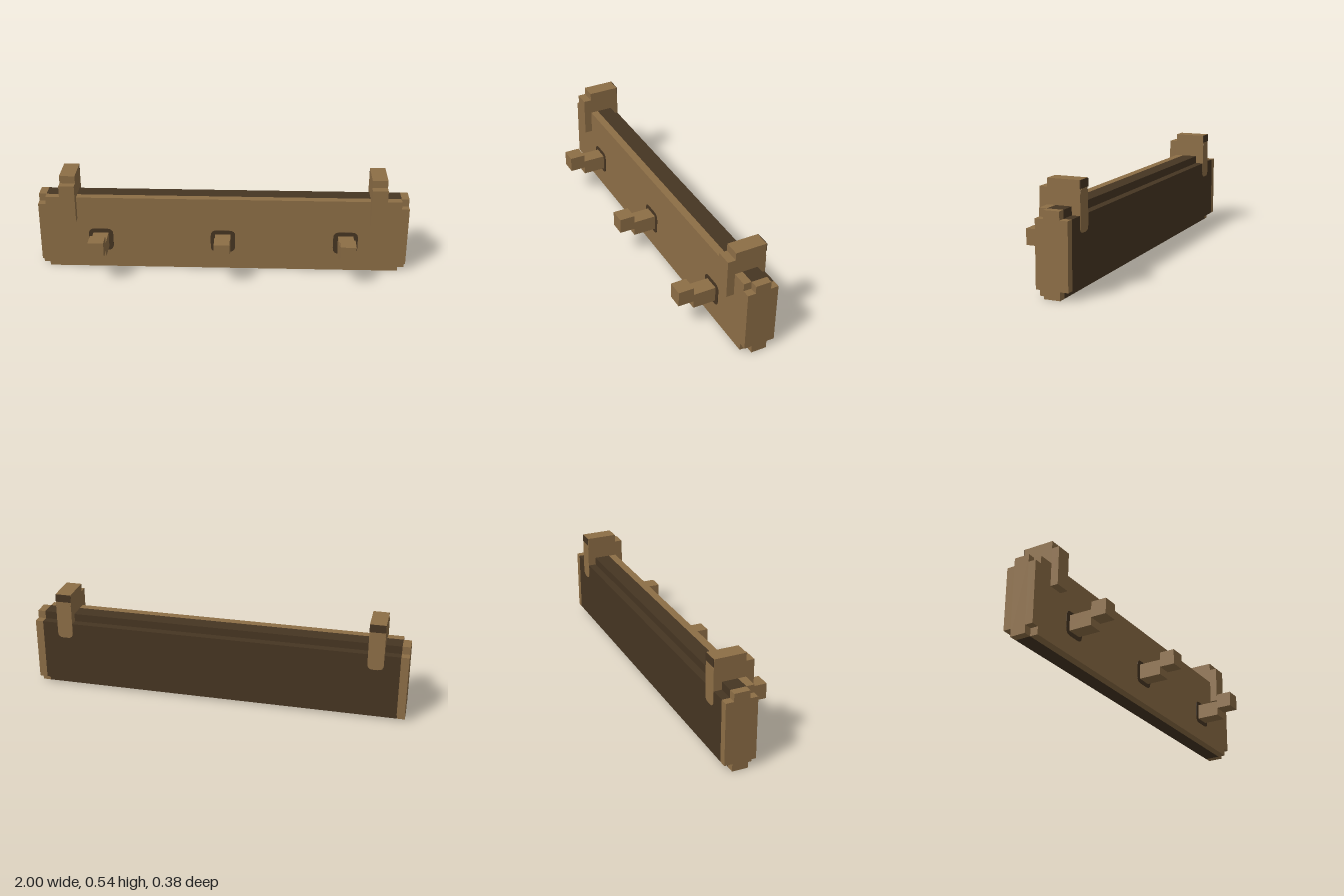
import * as THREE from 'three';

const U = 1 / 24; // block unit

export function createModel() {
  const wood = new THREE.MeshStandardMaterial({ color: 0x8d6e46 });
  wood.name = 'light wood';
  const dark = new THREE.MeshStandardMaterial({ color: 0x463522 });
  dark.name = 'dark wood';
  const root = new THREE.Group();
  root.name = 'wallRack';

  // Box from ranges in block units; z is counted from the back
  const box = (name, mat, [x0, x1], [y0, y1], [z0, z1], parent = root) => {
    const m = new THREE.Mesh(new THREE.BoxGeometry((x1 - x0) * U, (y1 - y0) * U, (z1 - z0) * U), mat);
    m.position.set((x0 + x1) * U / 2, (y0 + y1) * U / 2, ((z0 + z1) / 2 - 4.5) * U);
    m.name = name;
    parent.add(m);
    return m;
  };

  // Thin painted plate with rounded corners
  const plate = (name, w, h, r, mat, parent) => {
    const a = w / 2, b = h / 2;
    const s = new THREE.Shape();
    s.moveTo(-a + r, -b);
    s.lineTo(a - r, -b);
    s.quadraticCurveTo(a, -b, a, -b + r);
    s.lineTo(a, b - r);
    s.quadraticCurveTo(a, b, a - r, b);
    s.lineTo(-a + r, b);
    s.quadraticCurveTo(-a, b, -a, b - r);
    s.lineTo(-a, -b + r);
    s.quadraticCurveTo(-a, -b, -a + r, -b);
    const m = new THREE.Mesh(new THREE.ExtrudeGeometry(s, { depth: 0.002, bevelEnabled: false, curveSegments: 4 }), mat);
    m.name = name;
    parent.add(m);
    return m;
  };

  // Front board, with its four corner blocks left out
  box('frontBoard', wood, [-23, 23], [0, 10], [3, 4]);

  // Dark core and its stepped back panel
  box('core', dark, [-23, 23], [0, 10], [1, 3]);
  box('backPanel', dark, [-23, 23], [1, 9], [0, 1]);

  // End caps, notched at each corner
  for (const s of [-1, 1]) {
    const cap = new THREE.Group();
    cap.name = s > 0 ? 'leftEndCap' : 'rightEndCap';
    root.add(cap);
    const xr = s > 0 ? [23, 24] : [-24, -23];
    box('capMiddle', wood, xr, [0, 10], [1, 3], cap);
    box('capFront', wood, xr, [1, 9], [3, 4], cap);
    box('capBack', wood, xr, [1, 9], [0, 1], cap);
  }

  // Hanging clips over the top edge
  for (const s of [-1, 1]) {
    const clip = new THREE.Group();
    clip.name = s > 0 ? 'leftClip' : 'rightClip';
    root.add(clip);
    const xr = s > 0 ? [19, 21] : [-21, -19];
    box('clipFront', wood, xr, [7, 12], [4, 5], clip);
    box('clipBridge', wood, xr, [10, 13], [0, 4], clip);
    box('clipBack', wood, xr, [9, 10], [0, 1], clip);
    const leg = plate('clipBackFace', 2 * U, 5 * U, 0.7 * U, wood, clip);
    leg.position.set(s * 20 * U, 9.5 * U, -4.5 * U - 0.002);
    const edge = plate('clipTopEdge', 2 * U, U, 0.001, dark, clip);
    edge.position.set(s * 20 * U, 12.5 * U, -4.5 * U - 0.003);
  }

  // Three upturned pegs with dark surrounds
  for (const [i, x] of [-16, 0, 16].entries()) {
    const peg = new THREE.Group();
    peg.name = 'peg' + (i + 1);
    root.add(peg);
    box('pegArm', wood, [x - 1, x + 1], [3, 5], [4, 7], peg);
    box('pegTip', wood, [x - 1, x + 1], [4, 6], [7, 9], peg);
    plate('pegSurround', 3.2 * U, 3.1 * U, 0.8 * U, dark, peg).position.set(x * U, 4 * U, -0.5 * U);
  }
  return root;
}
